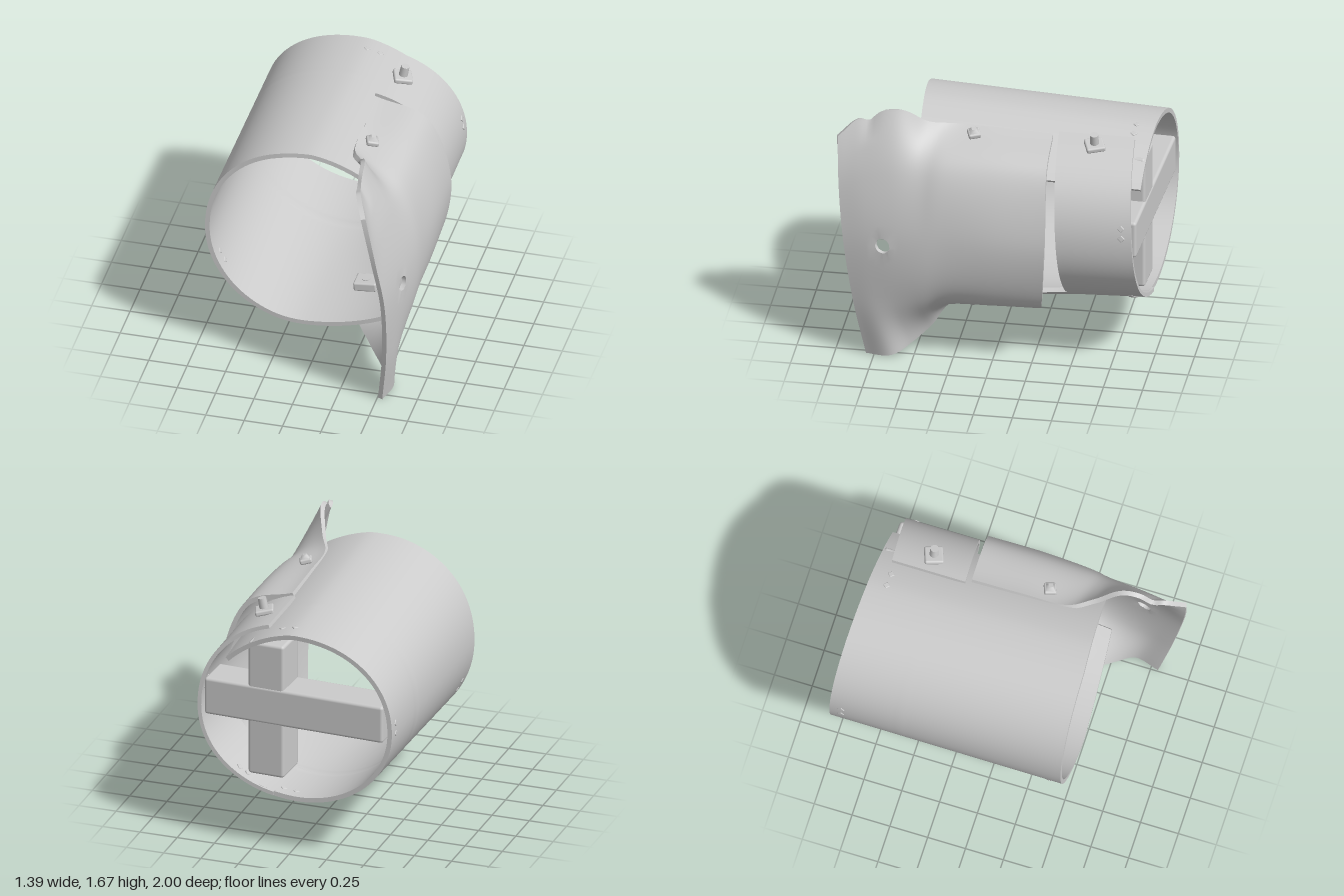
import * as THREE from 'three';
import { toCreasedNormals } from 'three/addons/utils/BufferGeometryUtils.js';
import { RoundedBoxGeometry } from 'three/addons/geometries/RoundedBoxGeometry.js';

const V = (x, y, z) => new THREE.Vector3(x, y, z);
const { lerp, smoothstep, degToRad } = THREE.MathUtils;
const signedPow = (t, p) => Math.sign(t) * Math.abs(t) ** p;
const material = new THREE.MeshStandardMaterial({ color: 0xcccccc, side: THREE.DoubleSide });

// Bent metal sheet with thickness; point(u, v) is its mid surface, hole is round in z and y
function sheet(point, nu, nv, thickness, hole) {
  const front = [], back = [], inside = [], pos = [];
  const id = (i, j) => i * (nv + 1) + j;
  const e = 0.002;
  const grid = [];
  for (let i = 0; i <= nu; i++) for (let j = 0; j <= nv; j++) {
    const p = point(i / nu, j / nv);
    grid.push(p);
    inside.push(!!hole && Math.hypot(p.z - hole.z, p.y - hole.y) < hole.r);
  }
  const kept = (i, j) => i >= 0 && j >= 0 && i < nu && j < nv &&
    ![id(i, j), id(i + 1, j), id(i + 1, j + 1), id(i, j + 1)].some(k => inside[k]);
  for (let i = 0; i <= nu; i++) for (let j = 0; j <= nv; j++) {
    const u = i / nu, v = j / nv, p = grid[id(i, j)];
    const du = point(Math.min(1, u + e), v).sub(point(Math.max(0, u - e), v));
    const dv = point(u, Math.min(1, v + e)).sub(point(u, Math.max(0, v - e)));
    const n = du.cross(dv).normalize().multiplyScalar(thickness / 2);
    // pull the vertices around the hole onto its circle
    const inner = i > 0 && j > 0 && i < nu && j < nv;
    if (hole && inner && !inside[id(i, j)] &&
      !(kept(i, j) && kept(i - 1, j) && kept(i, j - 1) && kept(i - 1, j - 1))) {
      const d = Math.hypot(p.z - hole.z, p.y - hole.y);
      p.z = hole.z + (p.z - hole.z) * hole.r / d;
      p.y = hole.y + (p.y - hole.y) * hole.r / d;
    }
    front.push(p.clone().add(n));
    back.push(p.clone().sub(n));
  }
  const quad = (a, b, c, d) => [a, b, c, a, c, d].forEach(p => pos.push(p.x, p.y, p.z));
  for (let i = 0; i < nu; i++) for (let j = 0; j < nv; j++) {
    if (!kept(i, j)) continue;
    const c = [id(i, j), id(i + 1, j), id(i + 1, j + 1), id(i, j + 1)];
    quad(...c.map(k => front[k]));
    quad(...c.map(k => back[k]).reverse());
    // close the rim where there is no neighbour
    [[i, j - 1], [i + 1, j], [i, j + 1], [i - 1, j]].forEach(([a, b], s) => {
      if (kept(a, b)) return;
      const p = c[s], q = c[(s + 1) % 4];
      quad(front[q], front[p], back[p], back[q]);
    });
  }
  const g = new THREE.BufferGeometry();
  g.setAttribute('position', new THREE.Float32BufferAttribute(pos, 3));
  return toCreasedNormals(g, 0.7);
}

// Open C-shaped sleeve, wider at the front, with a lower tab in front of the strap
function sleevePoint(u, v) {
  const end = lerp(292, lerp(315, 307.5, u), smoothstep(u, 0.28, 0.32));
  const a = degToRad(lerp(44, end, v));
  let c = Math.cos(a), s = Math.sin(a);
  const rx = c < 0 ? 0.645 : s > 0 ? lerp(0.65, 0.7, u) : lerp(0.67, 0.92, smoothstep(u, 0.3, 0.95));
  // fuller upper left shoulder
  if (c < 0 && s > 0) {
    c = signedPow(c, 0.93);
    s = signedPow(s, 0.93);
  }
  const x = -0.03 + rx * c;
  const sag = s > 0 ? 0.13 * Math.max(0, x) : 0;
  const y = lerp(0.935, 0.945, u) + lerp(0.555, 0.635, u) * s - sag;
  return V(x, y, lerp(-0.998 + 0.055 * (x + 0.68), 0.53 - 0.06 * Math.max(0, x + 0.2), u));
}

// Strap: lies over the sleeve at the top and runs into it at the bottom
function strapPoint(u, v) {
  const a = degToRad(lerp(74, -78, v));
  const p = lerp(0.9, 1, v);
  const x = -0.02 + 0.652 * signedPow(Math.cos(a), p);
  const y = 0.935 + lerp(0.58, lerp(0.55, 0.575, u), v) * signedPow(Math.sin(a), p);
  return V(x, y, lerp(lerp(-0.86, -0.97, v), lerp(-0.375, -0.48, v), u));
}

// Flared side plate: each column runs from the back edge to the front edge
const columns = [
  [[.21, 1.49, -.34], [.21, 1.505, 0], [.215, 1.515, .28], [.29, 1.56, .45], [.36, 1.67, .62], [.39, 1.62, .85], [.46, 1.5, 1]],
  [[.53, 1.37, -.35], [.53, 1.37, 0], [.53, 1.35, .3], [.53, 1.31, .45], [.53, 1.3, .63], [.52, 1.25, .83], [.52, 1.15, .975]],
  [[.67, .93, -.36], [.675, .93, 0], [.66, .9, .3], [.65, .88, .45], [.63, .86, .62], [.6, .85, .79], [.57, .8, .935]],
  [[.585, .5, -.33], [.59, .49, 0], [.59, .48, .28], [.605, .45, .45], [.605, .42, .6], [.595, .4, .74], [.565, .4, .875]],
  [[.38, .37, -.29], [.3, .335, 0], [.25, .28, .3], [.36, .16, .42], [.47, .08, .53], [.555, .025, .64], [.52, .01, .8]],
].map(c => new THREE.CatmullRomCurve3(c.map(p => V(...p)), false, 'catmullrom'));

function platePoint(u, v) {
  const section = new THREE.CatmullRomCurve3(columns.map(c => c.getPoint(u)), false, 'catmullrom');
  const p = section.getPoint(v);
  // shallow notch in the top edge
  p.y -= 0.05 * Math.exp(-(((p.z - 0.8) / 0.05) ** 2)) * Math.max(0, 1 - v / 0.12);
  return p;
}

export function createModel() {
  const model = new THREE.Group();
  const add = (name, geometry, pos = [0, 0, 0], rot = [0, 0, 0], parent = model) => {
    const m = new THREE.Mesh(geometry, material);
    m.name = name;
    m.position.set(...pos);
    m.rotation.set(...rot);
    parent.add(m);
    return m;
  };
  const box = (w, h, d, r = 0.012) => new RoundedBoxGeometry(w, h, d, 2, r);

  add('sleeve', sheet(sleevePoint, 50, 72, 0.03));
  add('strap', sheet(strapPoint, 12, 44, 0.025));
  add('sidePlate', sheet(platePoint, 48, 50, 0.03, { z: 0.68, y: 0.83, r: 0.048 }));

  // Crossed beams inside the back opening, turned to follow its slant
  const cross = new THREE.Group();
  cross.name = 'crossBrace';
  cross.position.z = -0.835;
  cross.rotation.y = -0.045;
  model.add(cross);
  add('horizontalBeam', box(1.22, 0.25, 0.25, 0.02), [-0.02, 0.985, 0], [0, 0, 0], cross);
  add('verticalBeam', box(0.245, 0.91, 0.25, 0.02), [0.17, 0.955, 0.005], [0, 0, 0], cross);

  // Bolts: square washer, pin or peak outside, block inside; local +y points outward
  const bolt = (name, pos, rot, size, pin, block) => {
    const g = new THREE.Group();
    g.name = name;
    g.position.set(...pos);
    g.rotation.set(...rot);
    model.add(g);
    add('washer', box(size, 0.035, size), [0, 0.01, 0], [0, 0.35, 0], g);
    if (pin) add('pin', new THREE.CylinderGeometry(0.027, 0.03, pin, 12), [0, pin / 2, 0], [0, 0, 0], g);
    else add('peak', new THREE.CylinderGeometry(0.02, size * 0.6, 0.03, 4), [0, 0.035, 0], [0, 1.1, 0], g);
    add('shank', new THREE.CylinderGeometry(0.03, 0.03, 0.13, 12), [0, -0.07, 0], [0, 0, 0], g);
    add('innerBlock', box(block, 0.06, 0.13), [0, -0.1, 0], [0, 0, 0], g);
  };
  bolt('strapBolt', [0.3, 1.48, -0.62], [0, 0, -0.2], 0.12, 0.095, 0.24);
  bolt('upperPlateBolt', [0.3, 1.5, 0.15], [0, 0, -0.25], 0.08, 0, 0.1);
  bolt('lowerPlateBolt', [0.28, 0.33, 0.16], [0, 0, Math.PI + 0.1], 0.08, 0, 0.15);

  // Small rivets, placed by sheet coordinates, showing on both sides
  const rivets = [
    [sleevePoint, 0.08, 0.14], [sleevePoint, 0.08, 0.17], [sleevePoint, 0.05, 0.53], [sleevePoint, 0.05, 0.555],
    [sleevePoint, 0.06, 0.92], [sleevePoint, 0.06, 0.95], [sleevePoint, 0.94, 0.6], [sleevePoint, 0.94, 0.625],
    [strapPoint, 0.13, 0.4], [strapPoint, 0.13, 0.44], [strapPoint, 0.16, 0.83], [strapPoint, 0.16, 0.87],
  ];
  for (const [f, u, v] of rivets) {
    const p = f(u, v), n = V(p.x + 0.03, p.y - 0.94, 0).normalize();
    const m = add('rivet', box(0.034, 0.034, 0.038, 0.005), p.toArray());
    m.lookAt(p.clone().add(n));
    m.rotateZ(Math.PI / 4);
  }
  return model;
}
